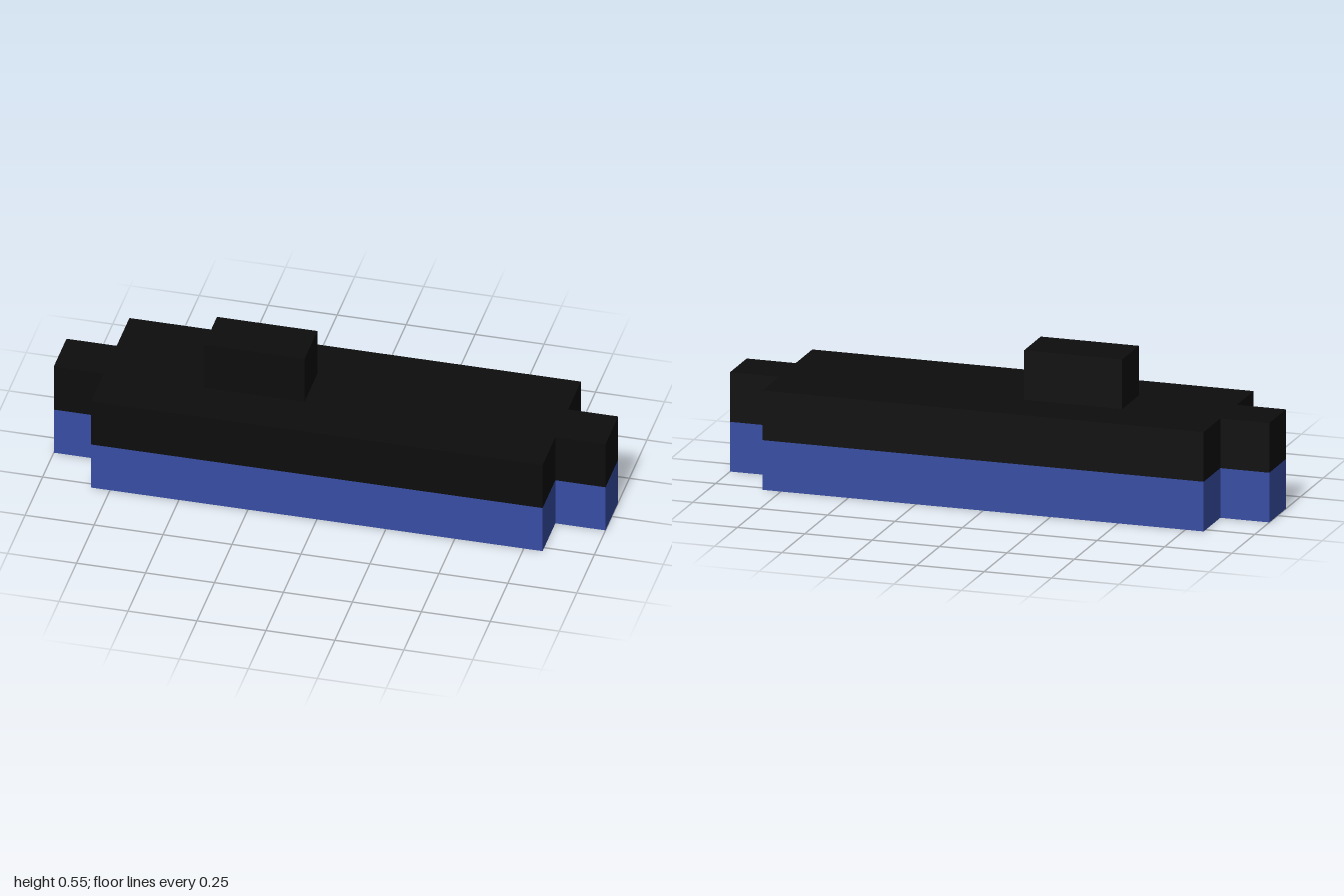
import * as THREE from 'three';

const U = 2 / 11; // one block unit; the whole model is 11 units long

// Plus-shaped outline: a 9 x 3 deck with a 1 x 1 nub at each end
function hullOutline() {
  const quarter = [[5.5, 0.5], [4.5, 0.5], [4.5, 1.5]];
  const mirrored = [...quarter].reverse().map(([x, y]) => [-x, y]);
  const upper = [...quarter, ...mirrored];
  const lower = upper.map(([x, y]) => [-x, -y]);
  return new THREE.Shape([...upper, ...lower].map(([x, y]) => new THREE.Vector2(x * U, y * U)));
}

export function createModel() {
  const blue = new THREE.MeshStandardMaterial({ color: 0x374da3 });
  blue.name = 'blue';
  const black = new THREE.MeshStandardMaterial({ color: 0x0d0d0d });
  black.name = 'black';

  const model = new THREE.Group();
  model.name = 'blockBoat';

  // Two stacked layers with the same outline
  const layer = new THREE.ExtrudeGeometry(hullOutline(), { depth: U, bevelEnabled: false });
  layer.rotateX(-Math.PI / 2);
  [['lowerHull', blue], ['upperHull', black]].forEach(([name, material], i) => {
    const mesh = new THREE.Mesh(layer, material);
    mesh.name = name;
    mesh.position.y = i * U;
    model.add(mesh);
  });

  // Off-centre tower on the deck
  const tower = new THREE.Mesh(new THREE.BoxGeometry(2 * U, U, U), black);
  tower.name = 'tower';
  tower.position.set(-1.5 * U, 2.5 * U, 0);
  model.add(tower);

  return model;
}
